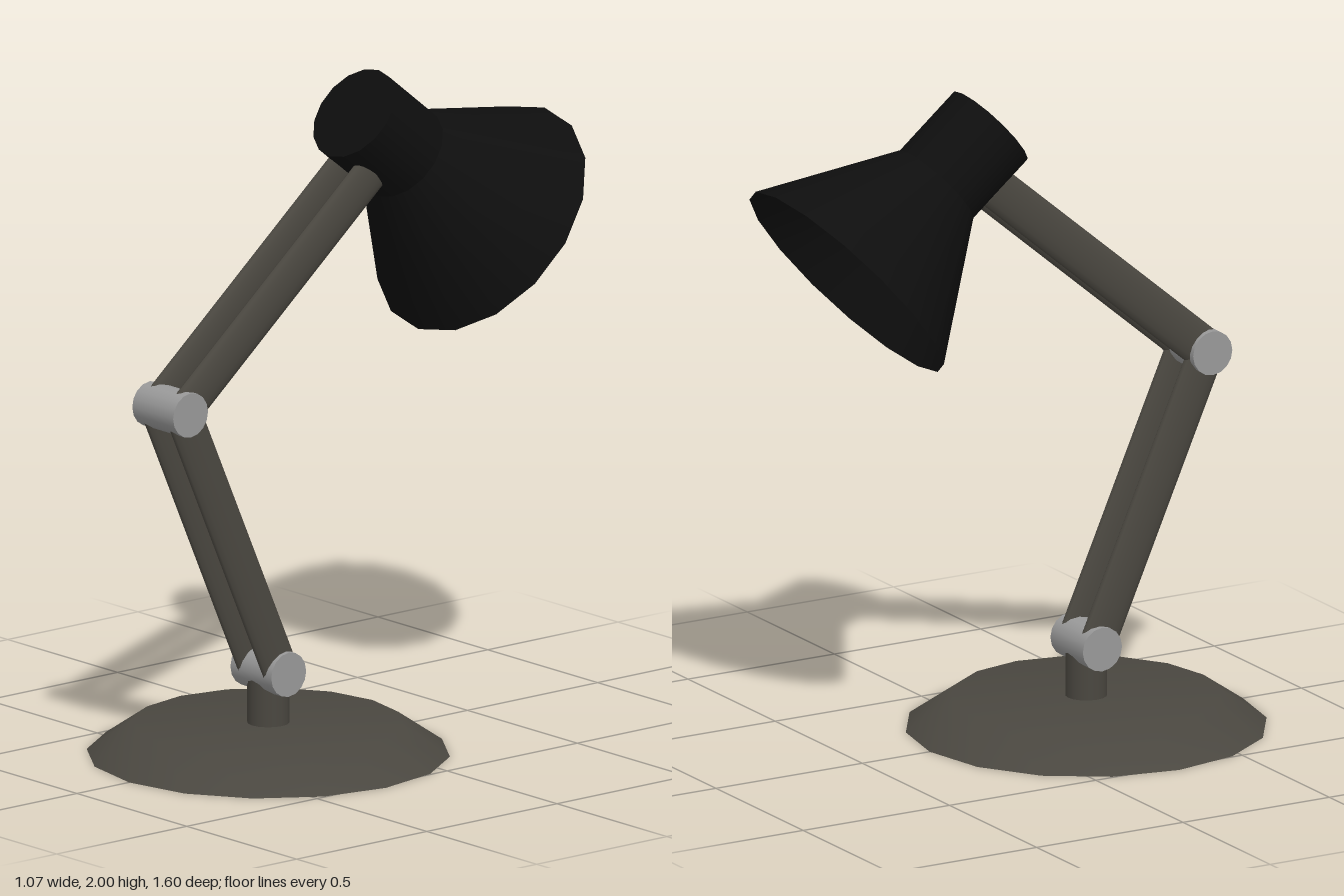
import * as THREE from 'three';

const SIDES = 16;
const paint = (color, side = THREE.FrontSide) => new THREE.MeshStandardMaterial({ color, side });

export function createModel() {
  const lamp = new THREE.Group();
  lamp.name = 'deskLamp';

  const bodyPaint = paint(0x4a4740);
  const shellPaint = paint(0x4a4740, THREE.DoubleSide);
  const shadePaint = paint(0x0e0e0e, THREE.DoubleSide);
  const jointPaint = paint(0x999999);
  const bulbPaint = paint(0xe0e0e0);

  const add = (parent, name, geometry, material, x = 0, y = 0, z = 0) => {
    const mesh = new THREE.Mesh(geometry, material);
    mesh.name = name;
    mesh.position.set(x, y, z);
    parent.add(mesh);
    return mesh;
  };

  // Pivot points of the arm
  const shoulder = new THREE.Vector3(0, 0.255, 0.265);
  const elbow = new THREE.Vector3(0, 1.105, 0.642);
  const wrist = new THREE.Vector3(0, 1.715, -0.08);

  // Hollow round foot with a sloped edge
  const footProfile = [[0.535, 0], [0.4, 0.093], [0, 0.093]].map(([r, y]) => new THREE.Vector2(r, y));
  add(lamp, 'base', new THREE.LatheGeometry(footProfile, SIDES), shellPaint, 0, 0, shoulder.z);

  // Short post, its lower end just showing under the foot
  add(lamp, 'post', new THREE.CylinderGeometry(0.062, 0.062, 0.17, SIDES), bodyPaint, 0, 0.165, shoulder.z);

  // Pivot cylinders lying across the arm
  const jointGeometry = new THREE.CylinderGeometry(0.067, 0.067, 0.186, SIDES).rotateZ(Math.PI / 2);
  add(lamp, 'lowerJoint', jointGeometry, jointPaint, ...shoulder);
  add(lamp, 'upperJoint', jointGeometry, jointPaint, ...elbow);

  // Paired oval bars between two pivots
  const addArm = (name, from, to) => {
    const d = to.clone().sub(from);
    const geometry = new THREE.CylinderGeometry(0.063, 0.063, d.length(), SIDES)
      .scale(0.35, 1, 1)
      .rotateX(Math.atan2(d.z, d.y));
    const mid = from.clone().add(to).multiplyScalar(0.5);
    for (const s of [-1, 1]) add(lamp, name + (s > 0 ? 'Left' : 'Right'), geometry, bodyPaint, s * 0.058, mid.y, mid.z);
  };
  addArm('lowerArm', shoulder, elbow);
  addArm('upperArm', elbow, wrist);

  // Head: built along local -y from the closed end, then tilted forward
  const head = new THREE.Group();
  head.name = 'head';
  head.position.set(0, 1.885, -0.064);
  head.rotation.x = 0.884;
  lamp.add(head);

  const neck = 0.24, rim = 0.633;
  add(head, 'socketWall', new THREE.CylinderGeometry(0.149, 0.149, neck, SIDES, 1, true), shadePaint, 0, -neck / 2, 0);
  add(head, 'socketCap', new THREE.CircleGeometry(0.149, SIDES).rotateX(-Math.PI / 2), shadePaint);
  add(head, 'shade', new THREE.CylinderGeometry(0.149, 0.382, rim - neck, SIDES, 1, true), shadePaint, 0, -(neck + rim) / 2, 0);
  add(head, 'bulb', new THREE.SphereGeometry(0.135, SIDES, 12), bulbPaint, 0, -0.24, 0);

  return lamp;
}
